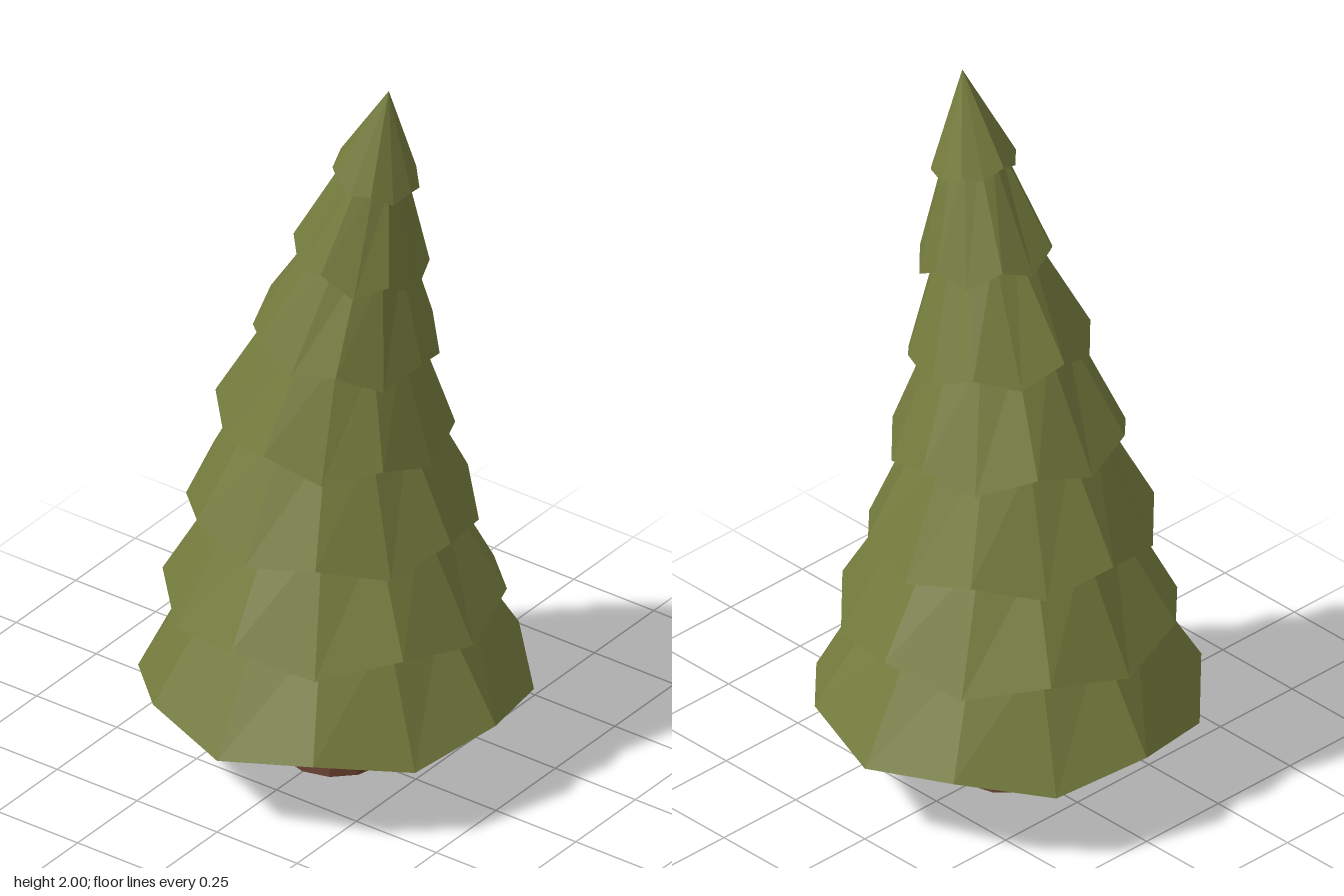
import * as THREE from 'three';

const SIDES = 12;
const leaf = new THREE.MeshStandardMaterial({ color: 0x747b3d, flatShading: true });
const bark = new THREE.MeshStandardMaterial({ color: 0x5e3a28, flatShading: true });

// Skirt of branches: a closed frustum with a zigzag, tilted rim and a top that leans forward
function makeTier({ y, r, z, top, rTop, zTop, tilt, zigzag = 0.04 }, index) {
  const geo = new THREE.CylinderGeometry(rTop, r, 2, SIDES, 1);
  const p = geo.attributes.position;
  for (let i = 0; i < p.count; i++) {
    const px = p.getX(i), pz = p.getZ(i);
    const reach = Math.hypot(px, pz);
    if (p.getY(i) > 0) {
      const drop = rTop > 0 ? (tilt * pz) / rTop : 0;
      p.setXYZ(i, px, top - drop, pz + zTop);
    } else {
      // every second rim corner is raised, offset by one corner on each tier
      const corner = Math.round((Math.atan2(pz, px) / (Math.PI * 2)) * SIDES) + SIDES;
      const raised = reach < 0.001 || (corner + index) % 2 === 1;
      p.setXYZ(i, px, y + (raised ? zigzag : 0) - (tilt * pz) / r, pz + z);
    }
  }
  geo.computeVertexNormals();
  const mesh = new THREE.Mesh(geo, leaf);
  mesh.name = `branchTier${index + 1}`;
  return mesh;
}

export function createModel() {
  const group = new THREE.Group();
  group.name = 'pineTree';

  // Flared trunk, closed underneath
  const profile = [[0, 0], [0.14, 0], [0.102, 0.12], [0.08, 0.23], [0.07, 0.4]]
    .map(([x, y]) => new THREE.Vector2(x, y));
  const trunk = new THREE.Mesh(new THREE.LatheGeometry(profile, SIDES), bark);
  trunk.name = 'trunk';
  group.add(trunk);

  // Tiers from the ground up; the crown bends toward the front
  const tiers = [
    { y: 0.21, r: 0.5, z: 0, top: 0.53, rTop: 0.33, zTop: 0, tilt: 0 },
    { y: 0.46, r: 0.435, z: -0.004, top: 0.78, rTop: 0.27, zTop: -0.004, tilt: 0 },
    { y: 0.71, r: 0.37, z: -0.011, top: 1.03, rTop: 0.225, zTop: 0, tilt: 0.015 },
    { y: 0.97, r: 0.303, z: -0.002, top: 1.28, rTop: 0.175, zTop: 0.03, tilt: 0.03 },
    { y: 1.22, r: 0.236, z: 0.032, top: 1.53, rTop: 0.115, zTop: 0.09, tilt: 0.03 },
    { y: 1.47, r: 0.172, z: 0.08, top: 1.77, rTop: 0.073, zTop: 0.13, tilt: 0.03 },
    { y: 1.73, r: 0.11, z: 0.125, top: 2, rTop: 0, zTop: 0.165, tilt: 0.025, zigzag: 0.02 },
  ];
  const foliage = new THREE.Group();
  foliage.name = 'foliage';
  tiers.forEach((tier, i) => foliage.add(makeTier(tier, i)));
  group.add(foliage);
  return group;
}
